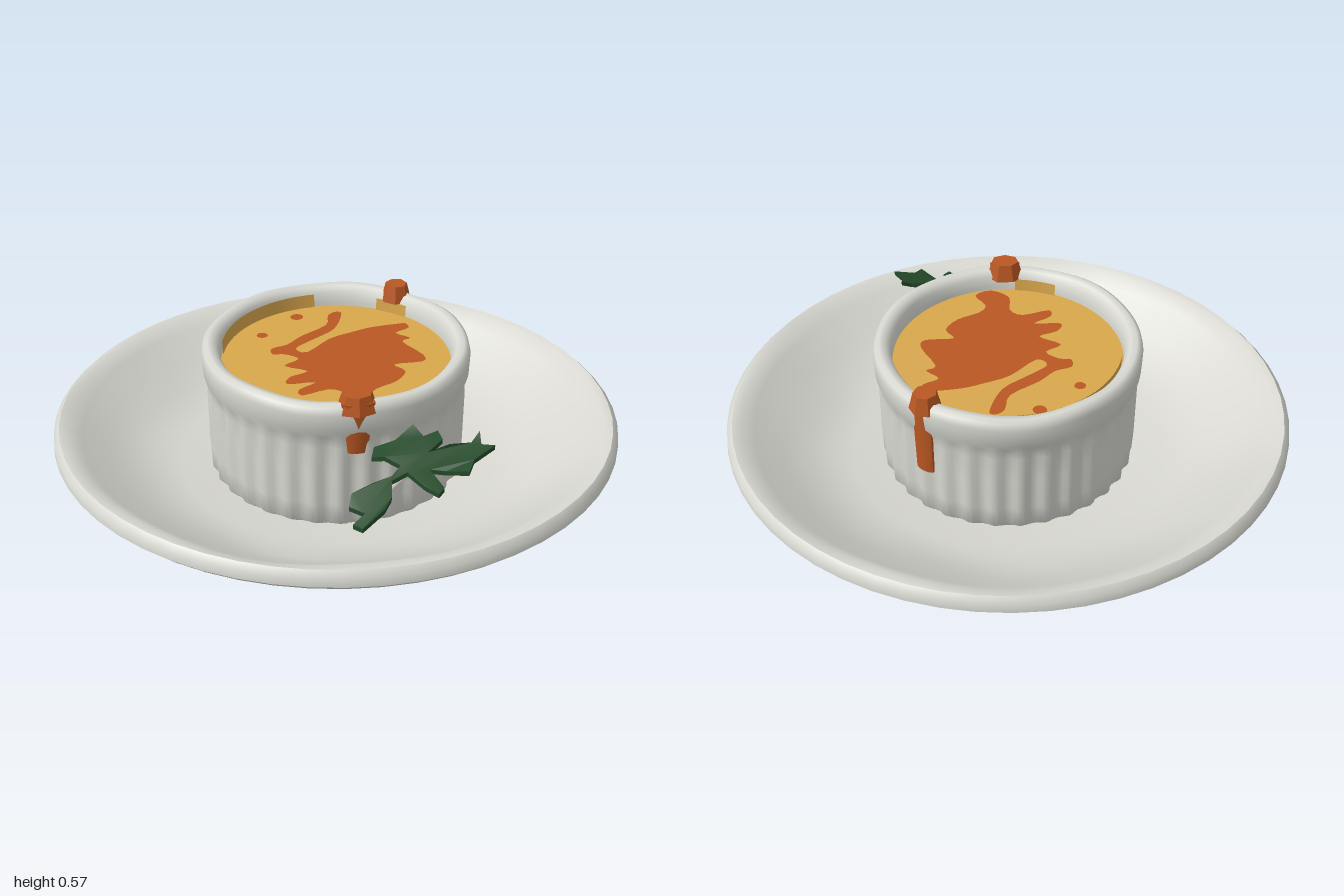
import * as THREE from 'three';
import { toCreasedNormals } from 'three/addons/utils/BufferGeometryUtils.js';

const material = (name, color, extra = {}) => {
  const m = new THREE.MeshStandardMaterial({ color, ...extra });
  m.name = name;
  return m;
};
const deg = THREE.MathUtils.degToRad;
const toVectors = (pairs) => pairs.map(([a, b]) => new THREE.Vector2(a, b));

// Outline in (x, z), laid flat on the ground plane
const flatShape = (pairs) => toVectors(pairs.map(([x, z]) => [x, -z]));

// Move every vertex by a rule
function warp(geometry, rule) {
  const p = geometry.attributes.position;
  const v = new THREE.Vector3();
  for (let i = 0; i < p.count; i++) {
    rule(v.fromBufferAttribute(p, i));
    p.setXYZ(i, v.x, v.y, v.z);
  }
  return geometry;
}

export function createModel() {
  const white = material('white glaze', 0xd8d8d1);
  const cream = material('golden custard', 0xd9a74c, { side: THREE.DoubleSide });
  const orange = material('orange sauce', 0xb85722);
  const green = material('herb green', 0x254a2a);

  const model = new THREE.Group();
  const add = (name, geometry, mat, parent = model) => {
    const mesh = new THREE.Mesh(geometry, mat);
    mesh.name = name;
    parent.add(mesh);
    return mesh;
  };

  // Wide plate with a rolled lip, slightly uneven as if hand thrown
  const plate = new THREE.LatheGeometry(toVectors([
    [0, 0], [0.615, 0], [0.64, 0.012], [0.82, 0.11], [0.975, 0.2], [0.996, 0.22],
    [0.994, 0.25], [0.975, 0.27], [0.945, 0.266], [0.9, 0.235], [0.8, 0.17],
    [0.71, 0.12], [0.64, 0.095], [0.56, 0.075], [0, 0.07],
  ]), 56);
  warp(plate, (v) => {
    const a = Math.atan2(v.x, v.z);
    const r = Math.hypot(v.x, v.z);
    if (r > 0.7 && r < 0.95) v.y += 0.004 * Math.sin(a * 5) + 0.003 * Math.sin(a * 9 + 1);
  });
  add('plate', toCreasedNormals(plate, 0.7), white);

  // Ramekin with fluted walls under a plain rounded rim
  const flutes = 32;
  const ramekin = new THREE.LatheGeometry(toVectors([
    [0.43, 0.065], [0.448, 0.085], [0.452, 0.16], [0.453, 0.28], [0.454, 0.38], [0.458, 0.42],
    [0.471, 0.445], [0.474, 0.51], [0.468, 0.535], [0.452, 0.545], [0.428, 0.54],
    [0.412, 0.52], [0.408, 0.48], [0.404, 0.43],
  ]), flutes * 6);
  warp(ramekin, (v) => {
    const a = Math.atan2(v.x, v.z);
    const r = Math.hypot(v.x, v.z);
    let k = 1;
    if (v.y > 0.08 && v.y < 0.4 && r > 0.44) k += 0.016 * Math.cos(a * flutes);
    else if (v.y > 0.44) v.y += 0.003 * Math.sin(a * 7);
    v.x *= k * 0.985;
    v.z *= k * 1.02;
  });
  add('ramekin', toCreasedNormals(ramekin, 0.9), white);

  // Custard surface and the smears left on the inner wall
  const level = 0.47;
  const custard = add('custard', new THREE.CircleGeometry(0.408, 48).rotateX(-Math.PI / 2), cream);
  custard.position.y = level;
  custard.scale.set(0.985, 1, 1.02);
  for (const [from, to, top] of [[190, 266, 0.52], [138, 156, 0.515], [340, 362, 0.515]]) {
    const smear = add('custardSmear', new THREE.CylinderGeometry(
      0.404, 0.401, top - level, 20, 1, true, deg(from), deg(to - from)), cream);
    smear.position.y = (top + level) / 2;
    smear.scale.set(0.985, 1, 1.02);
  }

  // Sauce swirl and droplets
  const swirl = flatShape([
    [0.26, -0.25], [0.27, -0.21], [0.22, -0.17], [0.27, -0.13], [0.24, -0.1], [0.305, 0],
    [0.3, 0.05], [0.2, 0.07], [0.235, 0.12], [0.2, 0.19], [0.13, 0.24], [0.11, 0.29],
    [0.155, 0.35], [0.1, 0.39], [0.03, 0.35], [0.02, 0.27], [-0.03, 0.24], [-0.12, 0.28],
    [-0.13, 0.24], [-0.075, 0.19], [-0.17, 0.2], [-0.16, 0.15], [-0.1, 0.11], [-0.18, 0.07],
    [-0.13, 0.02], [-0.18, -0.016], [-0.22, -0.016], [-0.225, -0.06], [-0.17, -0.09],
    [-0.12, -0.155], [-0.03, -0.24], [-0.02, -0.32], [0.01, -0.35], [0.03, -0.33],
    [0, -0.21], [-0.075, -0.13], [-0.14, -0.06], [-0.1, -0.03], [-0.02, -0.13],
    [0.06, -0.18], [0.14, -0.22],
  ]);
  const swirlShape = new THREE.Shape(
    new THREE.SplineCurve([...swirl, swirl[0]]).getPoints(swirl.length * 3).slice(0, -1));
  add('sauceSwirl', new THREE.ShapeGeometry(swirlShape).rotateX(-Math.PI / 2), orange)
    .position.y = level + 0.005;
  for (const [x, z, r] of [[-0.135, -0.31, 0.024], [-0.26, -0.165, 0.02]]) {
    add('sauceDroplet', new THREE.CircleGeometry(r, 14).rotateX(-Math.PI / 2), orange)
      .position.set(x, level + 0.005, z);
  }

  // Drips: a chunky blob on the rim with a run down the outer wall
  const drip = (angle, blob, topR, bottomR, bottomY) => {
    const group = new THREE.Group();
    group.name = 'sauceDrip';
    group.rotation.y = deg(angle);
    model.add(group);
    const lump = add('dripBlob', toCreasedNormals(
      new THREE.CylinderGeometry(0.72, 1, 1, 7, 1), 0.3), orange, group);
    lump.scale.set(blob, 0.062, 0.056);
    lump.position.set(0, 0.543, 0.447);
    const height = 0.55 - bottomY;
    const run = new THREE.CylinderGeometry(topR, bottomR, height, 10, 4);
    warp(run, (v) => {
      const t = v.y / height + 0.5;
      v.z = v.z * 0.4 + 0.008 * t;
    });
    add('dripRun', toCreasedNormals(run, 0.8), orange, group)
      .position.set(0, bottomY + height / 2, 0.458);
  };
  drip(7, 0.07, 0.058, 0.034, 0.36);
  drip(148.4, 0.055, 0.04, 0.036, 0.26);

  // Herb sprig leaning from the ramekin wall towards the plate
  const lean = (x, z) => 0.36 + 0.2 * (x - 0.25) - 0.28 * (z - 0.56)
    + 0.014 * Math.sin(x * 34) * Math.cos(z * 30);
  const leafShape = new THREE.Shape(flatShape([
    [0.1, 0.5], [0.11, 0.45], [0.18, 0.44], [0.24, 0.4], [0.27, 0.45], [0.32, 0.42],
    [0.33, 0.48], [0.28, 0.52], [0.35, 0.51], [0.42, 0.5], [0.45, 0.47], [0.45, 0.52],
    [0.49, 0.55], [0.42, 0.59], [0.4, 0.64], [0.33, 0.6], [0.28, 0.59], [0.32, 0.67],
    [0.3, 0.7], [0.26, 0.66], [0.21, 0.59], [0.16, 0.6], [0.155, 0.67], [0.13, 0.73],
    [0.06, 0.77], [0.03, 0.74], [0.07, 0.71], [0.02, 0.68], [0.03, 0.64], [0.1, 0.6],
    [0.16, 0.585], [0.19, 0.55], [0.14, 0.52],
  ]));
  const leaf = new THREE.ExtrudeGeometry(leafShape, { depth: 0.016, bevelEnabled: false });
  leaf.rotateX(-Math.PI / 2);
  warp(leaf, (v) => { v.y += lean(v.x, v.z); });
  add('herbLeaf', toCreasedNormals(leaf, 0.5), green);

  // Pale stem under the leaves
  const stemPath = new THREE.CatmullRomCurve3([[0.12, 0.63], [0.2, 0.57], [0.3, 0.55]]
    .map(([x, z]) => new THREE.Vector3(x, lean(x, z) - 0.012, z)));
  add('herbStem', new THREE.TubeGeometry(stemPath, 10, 0.01, 6), white);

  return model;
}
